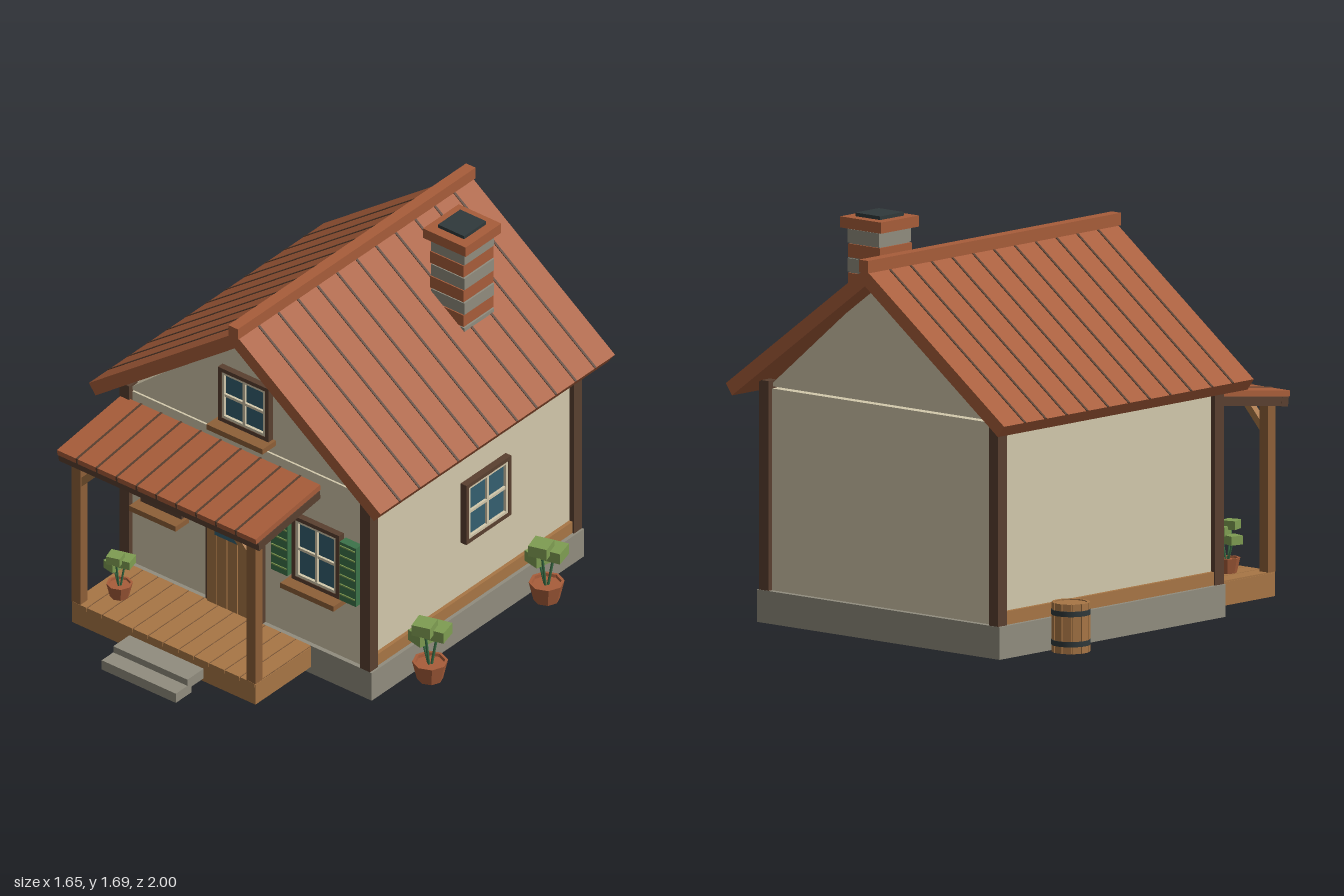
import * as THREE from 'three';

const mat = (name, color, extra = {}) => {
  const m = new THREE.MeshStandardMaterial({ color, ...extra });
  m.name = name;
  return m;
};

export function createModel() {
  const cream = mat('cream plaster', 0xd3c9ac);
  const tile = mat('terracotta', 0xa85d3a);
  const dark = mat('dark timber', 0x5a4030);
  const mid = mat('brown timber', 0x8e6038);
  const wood = mat('light timber', 0xa87645);
  const stone = mat('stone', 0x918d7f);
  const glass = mat('blue glass', 0x345f70);
  const green = mat('shutter green', 0x3c7349);
  const leaf = mat('leaf green', 0x7f9d52);
  const iron = mat('iron', 0x30393b);

  const root = new THREE.Group();
  root.name = 'cottage';
  const house = new THREE.Group();
  house.name = 'house';
  house.position.x = -0.005;
  root.add(house);

  const add = (parent, name, geo, m, x = 0, y = 0, z = 0) => {
    const mesh = new THREE.Mesh(geo, m);
    mesh.name = name;
    mesh.position.set(x, y, z);
    parent.add(mesh);
    return mesh;
  };
  // Box given by its size and centre
  const box = (p, name, m, w, h, d, x, y, z) => add(p, name, new THREE.BoxGeometry(w, h, d), m, x, y, z);
  // Box given by its limits
  const span = (p, name, m, x0, x1, y0, y1, z0, z1) =>
    box(p, name, m, x1 - x0, y1 - y0, z1 - z0, (x0 + x1) / 2, (y0 + y1) / 2, (z0 + z1) / 2);
  const group = (p, name, x, y, z) => {
    const g = new THREE.Group();
    g.name = name;
    g.position.set(x, y, z);
    p.add(g);
    return g;
  };

  // Foundation, walls, corner posts and side skirting
  const zMid = -0.225;
  span(house, 'foundation', stone, -0.668, 0.668, 0, 0.135, -0.91, 0.46);
  span(house, 'walls', cream, -0.635, 0.635, 0.135, 0.97, -0.885, 0.44);
  for (const s of [-1, 1]) {
    for (const z of [0.434, -0.882]) box(house, 'cornerPost', dark, 0.052, 0.868, 0.052, s * 0.633, 0.569, z);
    box(house, 'skirting', wood, 0.03, 0.055, 1.27, s * 0.637, 0.163, zMid);
  }
  const gable = new THREE.Shape([[-0.625, 0.978], [0.625, 0.978], [0, 1.498]].map(p => new THREE.Vector2(...p)));
  add(house, 'gable', new THREE.ExtrudeGeometry(gable, { depth: 1.32, bevelEnabled: false }), cream, 0, 0, -0.88);

  // Main roof: two slabs with seams, and a ridge beam
  const pitch = Math.atan(0.735), len = 0.951, roofLen = 1.515, roofZ = -0.233;
  for (const s of [-1, 1]) {
    const side = group(house, 'roofSide', s * 0.383, 1.2685, roofZ);
    side.rotation.z = -s * pitch;
    box(side, 'roofSlab', tile, len, 0.058, roofLen, 0, -0.029, 0);
    for (let i = 1; i < 12; i++)
      box(side, 'roofSeam', dark, len, 0.004, 0.011, 0, 0.001, -roofLen / 2 + (i * roofLen) / 12);
  }
  span(house, 'ridgeBeam', tile, -0.025, 0.025, 1.535, 1.587, -1, 0.535);

  // Chimney of alternating courses
  const chimney = group(house, 'chimney', 0.333, 0, -0.535);
  box(chimney, 'chimneyCore', stone, 0.165, 0.46, 0.18, 0, 1.41, 0);
  for (let i = 0; i < 7; i++) {
    const red = i % 2;
    box(chimney, 'course', red ? tile : stone, 0.176, 0.056, 0.193, red ? -0.002 : 0.002, 1.229 + i * 0.0605, 0);
  }
  box(chimney, 'chimneyCap', tile, 0.224, 0.046, 0.23, 0, 1.648, 0);
  box(chimney, 'flue', iron, 0.137, 0.016, 0.143, 0, 1.678, 0);

  // Window facing +z with its back at z = 0
  const windowAt = (name, x, y, z, w, h, sill, turn = 0) => {
    const g = group(house, name, x, y, z);
    g.rotation.y = turn;
    const f = 0.018, b = 0.012;
    box(g, 'pane', glass, w - f, h - f, 0.012, 0, 0, 0.008);
    for (const s of [-1, 1]) {
      box(g, 'frameSide', dark, f, h, 0.03, s * (w - f) / 2, 0, 0.015);
      box(g, 'frameRail', dark, w - 2 * f, f, 0.03, 0, s * (h - f) / 2, 0.015);
      box(g, 'sashSide', cream, b, h - 2 * f, 0.026, s * (w / 2 - f - b / 2), 0, 0.014);
      box(g, 'sashRail', cream, w - 2 * f, b, 0.026, 0, s * (h / 2 - f - b / 2), 0.014);
    }
    box(g, 'mullion', cream, b, h - 2 * f, 0.024, 0, 0, 0.014);
    box(g, 'glazingBar', cream, w - 2 * f, b, 0.022, 0, 0, 0.014);
    if (sill) box(g, 'sill', mid, w + 0.03, 0.025, 0.085, 0, -h / 2 - 0.0125, 0.0425);
  };
  windowAt('gableWindow', 0, 1.175, 0.44, 0.265, 0.26, true);
  windowAt('rightFrontWindow', -0.432, 0.61, 0.44, 0.215, 0.27, true);
  windowAt('leftFrontWindow', 0.38, 0.587, 0.44, 0.25, 0.31, true);
  windowAt('sideWindow', 0.635, 0.588, -0.3, 0.29, 0.29, false, Math.PI / 2);

  // Shutters
  for (const x of [0.198, 0.558]) {
    const g = group(house, 'shutter', x, 0.583, 0.46);
    box(g, 'shutterPanel', green, 0.085, 0.285, 0.04, 0, 0, 0);
    for (let i = 0; i < 6; i++) box(g, 'slat', leaf, 0.078, 0.006, 0.008, 0, -0.11 + i * 0.047, 0.0205);
  }

  // Plank door
  const door = group(house, 'door', -0.056, 0.135, 0.44);
  box(door, 'doorFrame', dark, 0.3, 0.62, 0.02, 0, 0.31, 0.01);
  for (let i = -2; i <= 2; i++) box(door, 'doorPlank', wood, 0.05, 0.6, 0.03, i * 0.0545, 0.302, 0.016);
  box(door, 'doorPane', glass, 0.175, 0.165, 0.008, 0, 0.428, 0.033);
  add(door, 'doorKnob', new THREE.SphereGeometry(0.014, 12, 8), wood, 0.112, 0.264, 0.042);

  // Porch deck and steps
  const porch = group(house, 'porch', 0, 0, 0);
  span(porch, 'deckBase', wood, -0.615, 0.35, 0.033, 0.13, 0.455, 0.82);
  span(porch, 'deckShadowGap', dark, -0.612, 0.347, 0.13, 0.132, 0.46, 0.818);
  const plank = 0.965 / 12;
  for (let i = 0; i < 12; i++)
    box(porch, 'deckPlank', wood, plank - 0.006, 0.02, 0.363, -0.615 + (i + 0.5) * plank, 0.126, 0.6415);
  span(porch, 'upperStep', stone, -0.312, 0.078, 0.048, 0.095, 0.82, 0.925);
  span(porch, 'lowerStep', stone, -0.312, 0.078, 0.02, 0.065, 0.9, 1);

  // Porch posts, braces and beam
  for (const [x, s] of [[-0.592, 1], [0.328, -1]]) {
    box(porch, 'porchPost', mid, 0.046, 0.7, 0.046, x, 0.485, 0.799);
    const brace = box(porch, 'brace', wood, 0.03, 0.15, 0.03, x + s * 0.062, 0.775, 0.799);
    brace.rotation.z = -s * 0.75;
  }
  // Porch roof
  const lean = group(porch, 'porchRoof', -0.132, 0.91, 0.66);
  lean.rotation.x = 0.13;
  box(lean, 'porchRoofBoard', dark, 1.052, 0.038, 0.4, 0, -0.045, 0);
  box(lean, 'porchRoofSlab', tile, 1.045, 0.026, 0.42, 0, -0.013, 0);
  box(lean, 'frontBeam', dark, 1.054, 0.04, 0.04, 0, -0.046, 0.18);
  for (let i = 1; i < 10; i++) box(lean, 'porchSeam', dark, 0.009, 0.027, 0.424, -0.5225 + i * 0.1045, -0.011, 0);

  // Wall lantern
  const lamp = group(house, 'lantern', -0.297, 0.575, 0.505);
  box(lamp, 'lanternBody', wood, 0.046, 0.075, 0.036, 0, 0.045, 0);
  box(lamp, 'lanternBase', iron, 0.058, 0.012, 0.046, 0, 0.006, 0);
  for (const sx of [-1, 1]) for (const sz of [-1, 1])
    box(lamp, 'lanternBar', iron, 0.007, 0.08, 0.007, sx * 0.023, 0.045, sz * 0.018);
  const roof = add(lamp, 'lanternRoof', new THREE.CylinderGeometry(0.016, 0.042, 0.025, 4, 1), iron, 0, 0.095, 0);
  roof.rotation.y = Math.PI / 4;
  add(lamp, 'lanternRing', new THREE.TorusGeometry(0.012, 0.004, 6, 14), iron, 0, 0.117, 0);
  box(lamp, 'lanternBracket', iron, 0.01, 0.01, 0.065, 0, 0.108, -0.033);

  // Potted plants
  const tileFlat = tile;
  const leaves = [[0, 0.267, 0.035, 0.082, 0.3], [-0.045, 0.19, 0, 0.078, -0.2], [0.03, 0.236, -0.015, 0.088, 0.25]];
  const plant = (x, y, z, scale) => {
    const g = group(root, 'pottedPlant', x, y, z);
    g.scale.setScalar(scale);
    const pot = new THREE.LatheGeometry(
      [[0, 0], [0.054, 0], [0.074, 0.086], [0.062, 0.086], [0.06, 0.072], [0, 0.072]].map(p => new THREE.Vector2(...p)), 8);
    const flat = pot.toNonIndexed();
    flat.computeVertexNormals();
    add(g, 'pot', flat, tileFlat);
    for (const [lx, ly, lz, size, turn] of leaves) {
      const tip = new THREE.Vector3(lx, ly, lz);
      const path = new THREE.LineCurve3(new THREE.Vector3(lx * 0.15, 0.06, lz * 0.15), tip);
      add(g, 'stem', new THREE.TubeGeometry(path, 1, 0.006, 5), green);
      box(g, 'leaf', leaf, size, 0.05, size, lx, ly, lz).rotation.y = turn;
    }
  };
  plant(0.742, 0, 0.18, 1);
  plant(0.742, 0, -0.572, 1);
  plant(-0.494, 0.135, 0.667, 0.74);

  // Barrel with staves and hoops
  const barrel = group(root, 'barrel', -0.748, 0, -0.56);
  add(barrel, 'barrelBody', new THREE.CylinderGeometry(0.074, 0.074, 0.2, 16), wood, 0, 0.1, 0);
  for (let i = 0; i < 12; i++) {
    const a = (i / 12) * Math.PI * 2;
    box(barrel, 'stave', wood, 0.036, 0.205, 0.012, Math.sin(a) * 0.071, 0.1025, Math.cos(a) * 0.071).rotation.y = a;
  }
  for (const y of [0.04, 0.165])
    add(barrel, 'hoop', new THREE.CylinderGeometry(0.081, 0.081, 0.022, 20), iron, 0, y, 0);

  return root;
}
